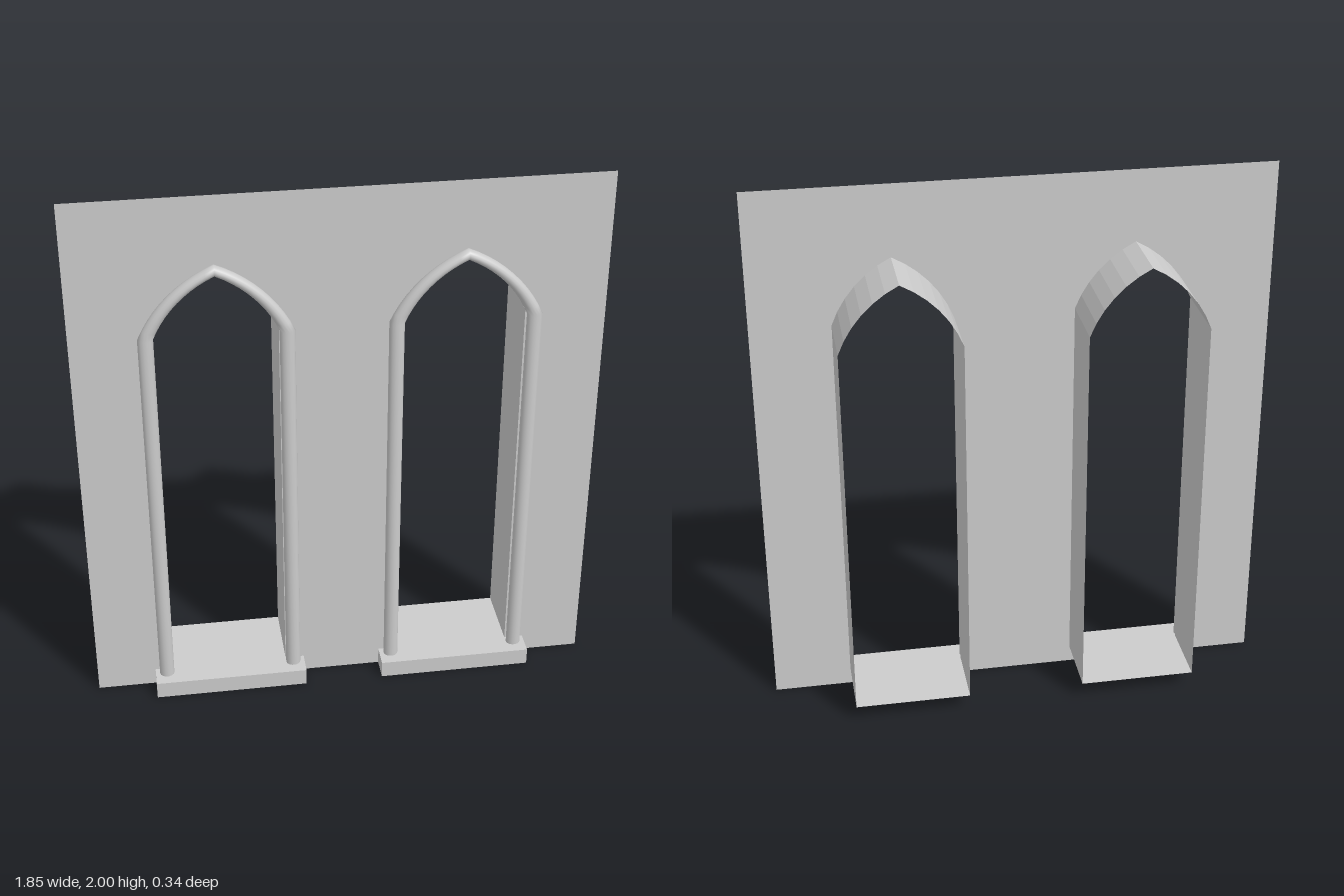
import * as THREE from 'three';

const WALL_Z = 0.083, BACK_Z = -0.17, SILL_Y = 0.065, SPRING_Y = 1.5;
const grey = (opts = {}) => new THREE.MeshStandardMaterial({ color: 0xcccccc, ...opts });

// Pointed-arch outline, left foot to right foot; each side is a shallow arc of the given radius
function archPoints(half, rise, radius, steps) {
  const chord = Math.hypot(half, rise);
  const tilt = Math.atan2(rise, half);
  const bend = Math.asin(chord / 2 / radius);
  const cx = half - radius * Math.sin(tilt + bend);
  const cy = SPRING_Y - radius * Math.cos(tilt + bend);
  const right = [new THREE.Vector2(half, SILL_Y)];
  for (let i = 0; i <= steps; i++) {
    const a = Math.PI / 2 - (tilt + bend) + (2 * bend * i) / steps;
    right.push(new THREE.Vector2(cx + radius * Math.cos(a), cy + radius * Math.sin(a)));
  }
  right[right.length - 1].x = 0;
  const left = right.slice(0, -1).map((p) => new THREE.Vector2(-p.x, p.y));
  return [...left, ...right.reverse()];
}

// Indexed surface joining rows of points
function loft(rows, closed) {
  const n = rows[0].length, index = [];
  for (let i = 0; i < rows.length - 1; i++) {
    for (let j = 0; j < (closed ? n : n - 1); j++) {
      const k = (j + 1) % n;
      const a = i * n + j, b = i * n + k, c = a + n, d = b + n;
      index.push(a, c, b, b, c, d);
    }
  }
  const geometry = new THREE.BufferGeometry().setFromPoints(rows.flat());
  geometry.setIndex(index);
  geometry.computeVertexNormals();
  return geometry;
}

function addMesh(parent, name, geometry, material) {
  const mesh = new THREE.Mesh(geometry, material);
  mesh.name = name;
  parent.add(mesh);
  return mesh;
}

function createWindow(opening) {
  const bay = new THREE.Group();

  // Jambs, arch and floor of the opening
  const loop = [...opening, opening[0]];
  const reveal = loft([WALL_Z, BACK_Z].map((z) => loop.map((p) => new THREE.Vector3(p.x, p.y, z))), false);
  addMesh(bay, 'reveal', reveal, grey({ side: THREE.DoubleSide, flatShading: true }));

  // Round moulding, thinner towards the point of the arch
  const inner = archPoints(0.213, 0.222, 0.426, 10);
  const outer = archPoints(0.267, 0.26, 0.5, 10);
  const sides = 14, depth = 0.0245;
  const rings = inner.map((p, i) => {
    const q = outer[i], ring = [];
    for (let s = 0; s < sides; s++) {
      const a = (s / sides) * Math.PI * 2;
      const t = 0.5 + 0.5 * Math.cos(a);
      ring.push(new THREE.Vector3(
        p.x + (q.x - p.x) * t, p.y + (q.y - p.y) * t, WALL_Z + depth * (1 + Math.sin(a))));
    }
    return ring;
  });
  addMesh(bay, 'moulding', loft(rings, true), grey({ side: THREE.DoubleSide }));

  // Projecting sill
  const sillDepth = 0.17 - WALL_Z;
  addMesh(bay, 'sill', new THREE.BoxGeometry(0.566, SILL_Y, sillDepth), grey())
    .position.set(0, SILL_Y / 2, WALL_Z + sillDepth / 2);
  return bay;
}

export function createModel() {
  const model = new THREE.Group();
  model.name = 'twinArchedWindowWall';
  const opening = archPoints(0.213, 0.237, 0.426, 6);

  // Thin wall sheet with two pointed openings
  const wall = new THREE.Shape([[-0.927, 0], [0.927, 0], [0.927, 2], [-0.927, 2]]
    .map(([x, y]) => new THREE.Vector2(x, y)));
  for (const [name, x] of [['rightWindow', -0.428], ['leftWindow', 0.428]]) {
    wall.holes.push(new THREE.Path(opening.map((p) => new THREE.Vector2(p.x + x, p.y))));
    const bay = createWindow(opening);
    bay.name = name;
    bay.position.x = x;
    model.add(bay);
  }
  addMesh(model, 'wall', new THREE.ShapeGeometry(wall), grey({ side: THREE.DoubleSide }))
    .position.z = WALL_Z;
  return model;
}
